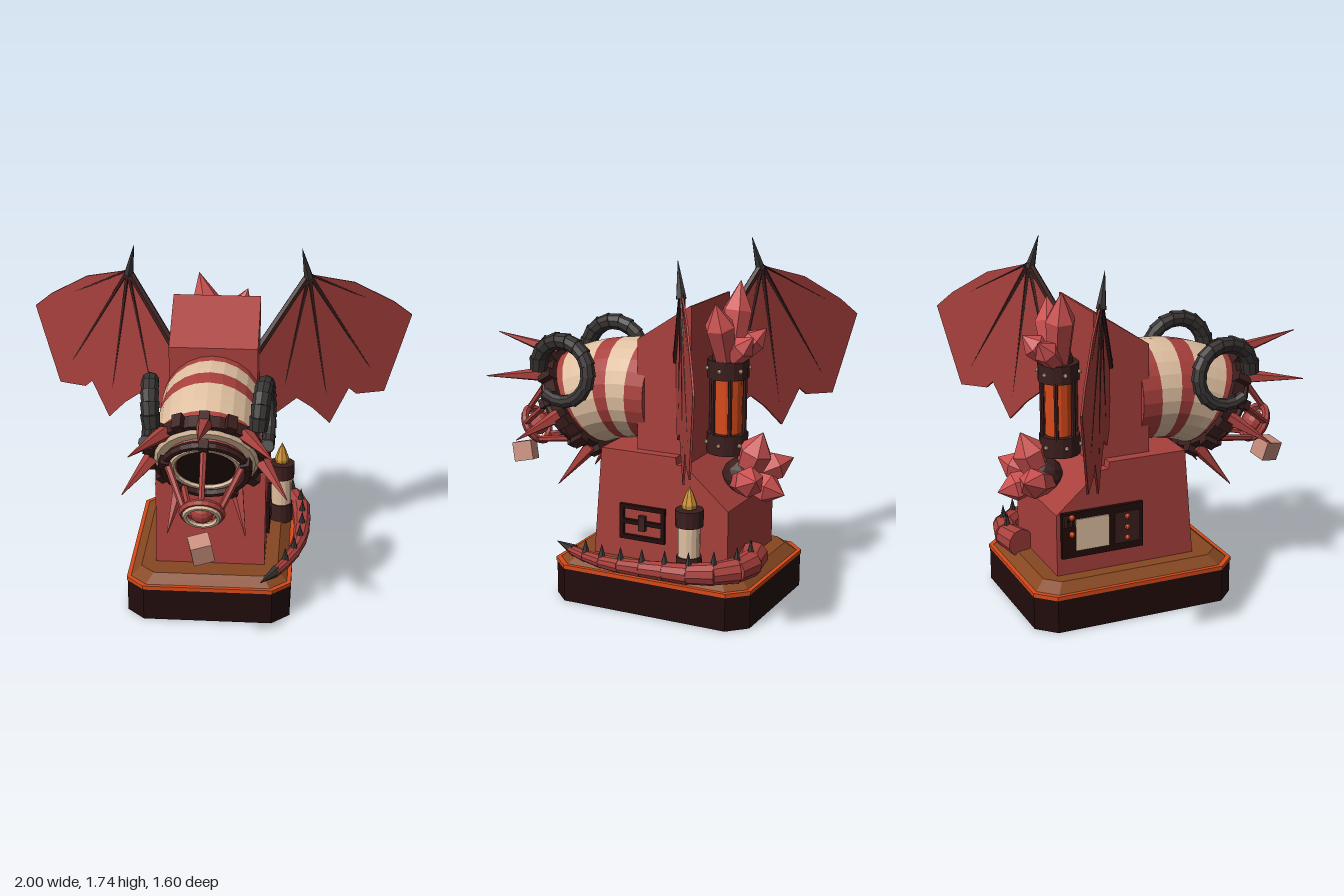
import * as THREE from 'three';

const mat = (name, color) => Object.assign(new THREE.MeshStandardMaterial({ color }), { name });
const V = (x, y, z) => new THREE.Vector3(x, y, z);
const TILT = 31 * Math.PI / 180;

export function createModel() {
  const red = mat('red hide', 0xa8403c), crystal = mat('crystal', 0xcc5050), cream = mat('cream', 0xdfbfa0);
  const dark = mat('dark wood', 0x220c0c), iron = mat('dark iron', 0x3a1e1d), horn = mat('horn grey', 0x383333);
  const brown = mat('brown wood', 0x864721), orange = mat('ember orange', 0xd64a1a), gold = mat('flame gold', 0xcc9030);
  const rose = mat('rose cube', 0xc98f7e);
  const model = new THREE.Group();

  // faceted mesh helper
  const add = (name, geo, material, pos = [0, 0, 0], rot = [0, 0, 0], parent = model) => {
    const g = geo.index ? geo.toNonIndexed() : geo;
    g.computeVertexNormals();
    const m = new THREE.Mesh(g, material);
    m.name = name;
    m.position.set(...pos);
    m.rotation.set(...rot);
    parent.add(m);
    return m;
  };
  const box = (name, size, material, pos, rot, parent) => add(name, new THREE.BoxGeometry(...size), material, pos, rot, parent);
  const cyl = (name, r0, r1, h, material, pos, sides = 14) => add(name, new THREE.CylinderGeometry(r1, r0, h, sides), material, pos);
  // tapered bar between two points
  const bar = (name, a, b, r0, r1, material, sides = 6, parent = model) => {
    const d = b.clone().sub(a);
    const m = add(name, new THREE.CylinderGeometry(r1, r0, d.length(), sides), material, a.clone().add(b).multiplyScalar(0.5).toArray(), [0, 0, 0], parent);
    m.quaternion.setFromUnitVectors(V(0, 1, 0), d.normalize());
    return m;
  };
  // profile of [z, y] points extruded across x
  const sideProfile = (name, pts, width, material) => {
    const g = new THREE.ExtrudeGeometry(new THREE.Shape(pts.map(([z, y]) => new THREE.Vector2(-z, y))), { depth: width, bevelEnabled: false });
    g.translate(0, 0, -width / 2).rotateY(Math.PI / 2);
    return add(name, g, material);
  };

  // plinth: chamfered slabs, the top one bevelled
  const slab = (name, y0, y1, in0, in1, material) => {
    const ring = (i, y) => {
      const x = 0.413 - i, zf = 0.29 - i, zb = -0.757 + i, c = 0.09 - i * 0.3;
      return [[x, zf - c], [x, zb + c], [x - c, zb], [c - x, zb], [-x, zb + c], [-x, zf - c], [c - x, zf], [x - c, zf]].map(([a, b]) => [a, y, b]);
    };
    const p = [...ring(in0, y0), ...ring(in1, y1), [0, y0, -0.23], [0, y1, -0.23]];
    const idx = [];
    for (let i = 0; i < 8; i++) {
      const j = (i + 1) % 8;
      idx.push(i, j, 8 + j, i, 8 + j, 8 + i, 8 + i, 8 + j, 17, j, i, 16);
    }
    const g = new THREE.BufferGeometry();
    g.setAttribute('position', new THREE.Float32BufferAttribute(p.flat(), 3));
    g.setIndex(idx);
    add(name, g, material);
  };
  slab('plinth', 0, 0.168, 0.004, 0.004, dark);
  slab('plinthTrim', 0.168, 0.188, 0, 0, orange);
  slab('plinthTop', 0.188, 0.23, 0.02, 0.07, brown);

  // body and tower
  sideProfile('body', [[0.1, 0.22], [0.057, 0.77], [-0.34, 0.77], [-0.345, 0.735], [-0.39, 0.735], [-0.615, 0.54], [-0.615, 0.22]], 0.55, red);
  sideProfile('tower', [[-0.11, 0.76], [-0.11, 1.31], [-0.38, 1.49], [-0.39, 1.49], [-0.39, 0.72]], 0.44, red);

  // banded neck: straight start, then an arc bending down
  class Neck extends THREE.Curve {
    constructor(a, b) { super(); this.a = a; this.b = b; }
    getPoint(t, out = V(0, 0, 0)) {
      const q = (this.a + (this.b - this.a) * t) * Math.PI / 180;
      return q < 0 ? out.set(0, 1.02, -0.05 + 0.7 * q) : out.set(0, 1.02 - 0.7 * (1 - Math.cos(q)), -0.05 + 0.7 * Math.sin(q));
    }
  }
  const bands = [-8, 0, 8, 13.5, 25.5, 31];
  for (let i = 0; i < 5; i++)
    add('neckBand', new THREE.TubeGeometry(new Neck(bands[i], bands[i + 1]), 3, 0.25, 24), i % 2 ? cream : red);
  add('neckBack', new THREE.CircleGeometry(0.25, 24), red, [0, 1.02, -0.148], [0, Math.PI, 0]);

  // head: rim, muzzle and cage along its own forward axis
  const head = new THREE.Group();
  head.name = 'head';
  head.position.set(0, 0.92, 0.31);
  head.rotation.x = TILT;
  model.add(head);
  const drum = (name, r0, r1, z0, z1, material) => add(name, new THREE.CylinderGeometry(r1, r0, z1 - z0, 24).rotateX(Math.PI / 2), material, [0, 0, (z0 + z1) / 2], [0, 0, 0], head);
  drum('rim', 0.275, 0.275, -0.045, 0.02, iron);
  drum('rimLip', 0.25, 0.235, 0.02, 0.035, cream);
  drum('muzzle', 0.2, 0.185, 0.03, 0.065, red);
  add('muzzleRing', new THREE.TorusGeometry(0.2, 0.022, 6, 24), iron, [0, 0, 0.075], [0, 0, 0], head);
  add('mouthRing', new THREE.TorusGeometry(0.16, 0.015, 6, 24), cream, [0, 0, 0.068], [0, 0, 0], head);
  drum('mouth', 0.14, 0.14, 0.05, 0.07, dark);
  for (let i = 0; i < 14; i++) {
    const a = (i + 0.5) / 14 * Math.PI * 2;
    box('rimStud', [0.05, 0.05, 0.075], iron, [0.28 * Math.cos(a), 0.28 * Math.sin(a), -0.01], [0, 0, a], head);
  }
  for (let i = 0; i < 5; i++) {
    const a = Math.PI / 2 + i * Math.PI * 0.4, c = Math.cos(a), s = Math.sin(a);
    bar('cageRod', V(0.2 * c, 0.2 * s, 0.06), V(0.09 * c, 0.09 * s, 0.32), 0.018, 0.015, red, 6, head);
    box('cageBracket', [0.045, 0.045, 0.05], iron, [0.205 * c, 0.205 * s, 0.085], [0, 0, a], head);
  }
  add('tipRing', new THREE.TorusGeometry(0.09, 0.02, 6, 20), red, [0, 0, 0.32], [0, 0, 0], head);
  add('tipInnerRing', new THREE.TorusGeometry(0.078, 0.014, 6, 20), cream, [0, 0, 0.338], [0, 0, 0], head);
  add('tongue', new THREE.SphereGeometry(0.058, 12, 8), red, [0, 0, 0.31], [0, 0, 0], head);

  // spikes fanning from the rim
  const spike = (x, y, z) => {
    const tip = V(x, y, z);
    const local = tip.clone().sub(head.position).applyAxisAngle(V(1, 0, 0), -TILT);
    const a = Math.atan2(local.y, local.x);
    bar('rimSpike', V(0.265 * Math.cos(a), 0.265 * Math.sin(a), 0), local, 0.04, 0.002, red, 5, head);
  };
  spike(0, 1.22, 0.8);
  for (const s of [-1, 1]) [[0.33, 1.07, 0.67], [0.39, 0.78, 0.47], [0.19, 0.52, 0.35]].forEach(([x, y, z]) => spike(s * x, y, z));

  for (const s of [-1, 1]) {
    // curled ridged horn
    const hp = f => { const a = -0.05 + f * 5.4; return V(s * (0.25 + 0.04 * Math.min(1, f * 1.6)), 1.125 + 0.15 * Math.sin(a), 0.27 + 0.15 * Math.cos(a)); };
    for (let i = 0; i < 15; i++) {
      const r = 0.048 - i * 0.0012;
      bar('hornSegment', hp((i - 0.1) / 15), hp((i + 1.1) / 15), r * 0.88, r, horn, 9);
    }
    // wing membrane lying in a swept vertical plane
    const wz = x => -0.19 - 0.58 * Math.abs(x);
    const outline = [[0.2, 1.2], [0.25, 1.29], [0.455, 1.59], [0.69, 1.51], [0.9, 1.37], [1, 1.28], [0.93, 1.06], [0.87, 0.875],
      [0.72, 0.89], [0.68, 0.93], [0.585, 0.75], [0.49, 0.86], [0.41, 0.93], [0.31, 0.87], [0.24, 0.92]];
    const g = new THREE.ExtrudeGeometry(new THREE.Shape(outline.map(([x, y]) => new THREE.Vector2(s * x, y))), { depth: 0.01, bevelEnabled: false });
    const p = g.attributes.position;
    for (let i = 0; i < p.count; i++) p.setZ(i, p.getZ(i) - 0.005 + wz(p.getX(i)));
    add('wingMembrane', g, red);
    const wp = (x, y) => V(s * x, y, wz(x));
    bar('wingArm', wp(0.19, 1.2), wp(0.455, 1.59), 0.022, 0.018, iron);
    [[0.87, 0.88], [0.585, 0.76], [0.32, 0.88], [0.98, 1.28]].forEach(([x, y], i) => bar('wingFinger', wp(0.455, 1.59), wp(x, y), i < 3 ? 0.014 : 0.008, 0.003, iron, 5));
    bar('wingClaw', V(s * 0.455, 1.57, -0.45), V(s * 0.42, 1.735, -0.415), 0.026, 0.001, horn, 6);
  }

  // caged lamp on the back of the tower
  cyl('lampBase', 0.1, 0.1, 0.1, iron, [0, 0.8, -0.485]);
  cyl('lampGlow', 0.07, 0.07, 0.3, orange, [0, 0.99, -0.485]);
  cyl('lampCap', 0.1, 0.1, 0.09, iron, [0, 1.165, -0.485]);
  for (let i = 0; i < 6; i++) {
    const a = i * Math.PI / 3, x = 0.088 * Math.sin(a), z = -0.485 + 0.088 * Math.cos(a);
    bar('lampBar', V(x, 0.84, z), V(x, 1.13, z), 0.011, 0.011, iron);
    for (const y of [0.8, 1.165]) add('lampRivet', new THREE.SphereGeometry(0.011, 6, 4), cream, [0.102 * Math.sin(a + 0.5), y, -0.485 + 0.102 * Math.cos(a + 0.5)]);
  }

  // faceted crystals growing from rocks
  const gem = (a, b, r) => {
    const d = b.clone().sub(a), h = d.length();
    const prof = [[0, 0], [r * 0.7, 0], [r, h * 0.62], [0, h]].map(([x, y]) => new THREE.Vector2(x, y));
    const m = add('crystal', new THREE.LatheGeometry(prof, 6), crystal, a.toArray());
    m.quaternion.setFromUnitVectors(V(0, 1, 0), d.normalize());
  };
  add('crystalRock', new THREE.IcosahedronGeometry(0.1, 1), iron, [0.01, 0.64, -0.57]);
  gem(V(0.01, 0.62, -0.58), V(0.02, 0.875, -0.68), 0.085);
  gem(V(-0.04, 0.62, -0.57), V(-0.21, 0.7, -0.75), 0.075);
  gem(V(0.05, 0.62, -0.57), V(0.22, 0.69, -0.73), 0.075);
  gem(V(0.01, 0.63, -0.58), V(0.03, 0.58, -0.8), 0.075);
  add('crystalRock', new THREE.IcosahedronGeometry(0.08, 1), iron, [0.01, 1.21, -0.485]);
  gem(V(-0.02, 1.2, -0.49), V(-0.1, 1.575, -0.5), 0.075);
  gem(V(0.04, 1.2, -0.49), V(0.15, 1.5, -0.48), 0.075);
  gem(V(-0.03, 1.2, -0.5), V(-0.12, 1.35, -0.63), 0.06);
  gem(V(0.03, 1.2, -0.5), V(0.07, 1.34, -0.64), 0.06);

  // segmented tail curling round the plinth, with spines and a barbed tip
  const tail = new THREE.CatmullRomCurve3([V(0.08, 0.275, -0.67), V(0.2, 0.275, -0.7), V(0.33, 0.275, -0.67), V(0.43, 0.27, -0.54), V(0.455, 0.265, -0.36),
    V(0.445, 0.25, -0.12), V(0.4, 0.24, 0.04), V(0.33, 0.24, 0.2)]);
  const tr = f => 0.07 - 0.045 * f;
  for (let i = 0; i < 10; i++) {
    const a = tail.getPointAt(i / 10), b = tail.getPointAt(Math.min(1, (i + 1.12) / 10));
    bar('tailSegment', a, b, tr(i / 10), tr((i + 1) / 10) * 0.94, red, 10);
    if (i > 0) {
      const r = tr(i / 10);
      bar('tailSpine', V(a.x, a.y + r * 0.7, a.z), V(a.x, a.y + r + 0.055, a.z), 0.02, 0.001, horn, 6);
    }
  }
  bar('tailTip', V(0.335, 0.24, 0.18), V(0.265, 0.245, 0.315), 0.03, 0.002, horn, 6);

  // candle
  cyl('candleBase', 0.065, 0.06, 0.1, iron, [0.34, 0.27, -0.445]);
  cyl('candleWax', 0.053, 0.053, 0.2, cream, [0.34, 0.39, -0.445]);
  cyl('candleCollar', 0.068, 0.068, 0.08, iron, [0.34, 0.51, -0.445]);
  add('flame', new THREE.LatheGeometry([[0, 0], [0.035, 0.01], [0.038, 0.03], [0.02, 0.08], [0, 0.12]].map(([x, y]) => new THREE.Vector2(x, y)), 8), gold, [0.34, 0.545, -0.445]);

  // hatch on the left side
  for (const y of [0.342, 0.42, 0.496]) box('hatchRail', [0.03, 0.022, 0.24], dark, [0.278, y, -0.17]);
  for (const z of [-0.06, -0.28]) box('hatchStile', [0.03, 0.17, 0.02], dark, [0.278, 0.419, z]);
  box('hatchLatch', [0.04, 0.075, 0.035], iron, [0.28, 0.42, -0.17]);

  // control panel on the right side
  box('panelFrame', [0.03, 0.23, 0.42], dark, [-0.28, 0.435, -0.385]);
  box('panelPlate', [0.008, 0.16, 0.17], cream, [-0.297, 0.435, -0.44]);
  box('panelScreen', [0.008, 0.16, 0.13], iron, [-0.297, 0.435, -0.26]);
  for (const y of [0.38, 0.435, 0.49]) add('panelButton', new THREE.SphereGeometry(0.014, 8, 6), orange, [-0.302, y, -0.26]);
  box('leverMount', [0.03, 0.05, 0.04], iron, [-0.3, 0.512, -0.57]);
  for (const y of [0.555, 0.47]) {
    bar('lever', V(-0.305, 0.512, -0.57), V(-0.36, y, -0.57), 0.007, 0.006, dark);
    add('leverKnob', new THREE.SphereGeometry(0.015, 8, 6), orange, [-0.362, y, -0.57]);
  }

  // cube dropping from the mouth
  box('cube', [0.1, 0.1, 0.1], rose, [0, 0.605, 0.655], [0.2, 0.25, 0.15]);
  return model;
}
